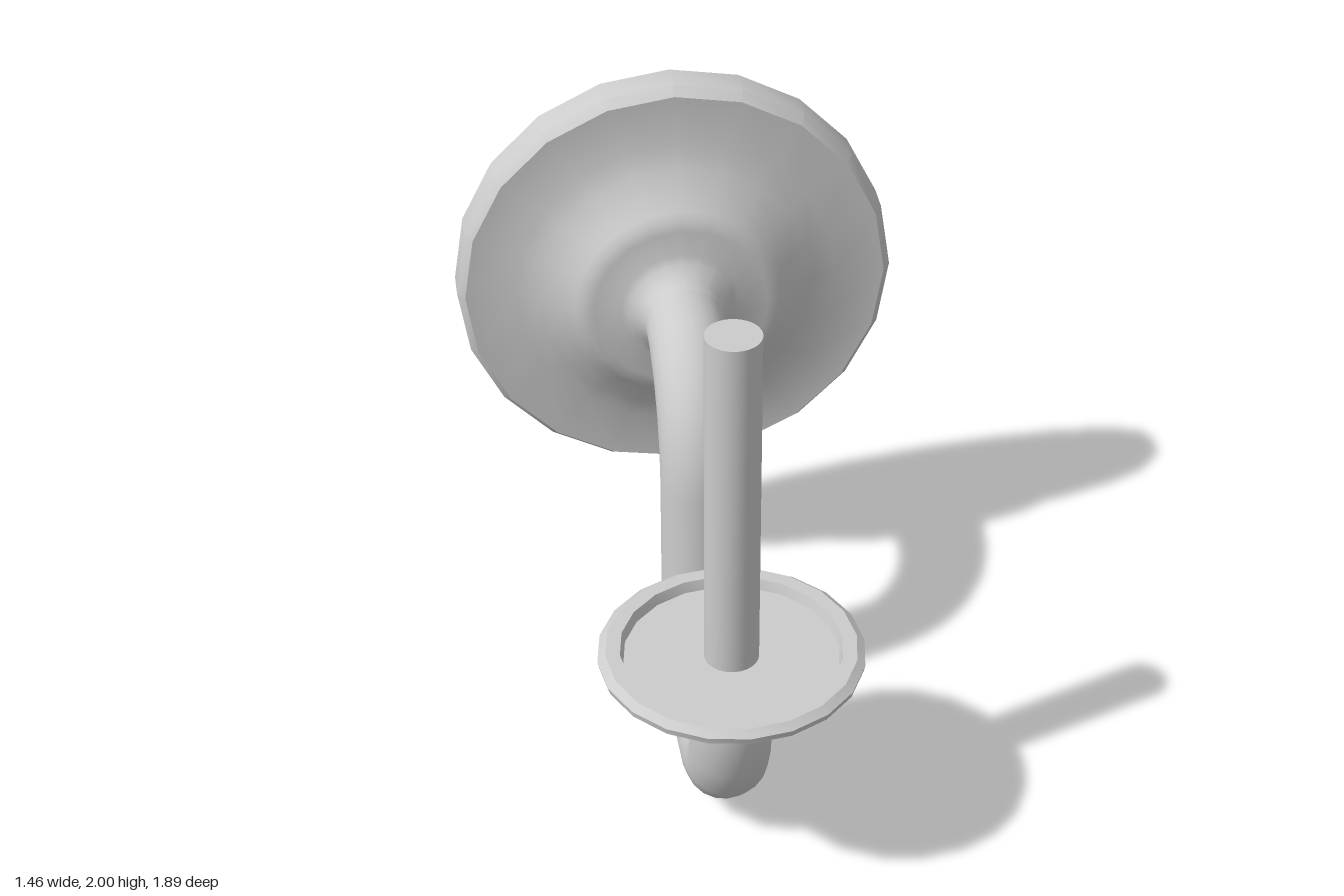
import * as THREE from 'three';
import { toCreasedNormals } from 'three/addons/utils/BufferGeometryUtils.js';

const SIDES = 20;
const grey = new THREE.MeshStandardMaterial({ color: 0xcccccc });

function part(name, geometry) {
  const mesh = new THREE.Mesh(toCreasedNormals(geometry, 0.65), grey);
  mesh.name = name;
  return mesh;
}

// Profile is a list of [radius, height]
function lathe(profile) {
  return new THREE.LatheGeometry(profile.map(([r, h]) => new THREE.Vector2(r, h)), SIDES);
}

// Cylinder whose rings are moved to the stations { y, z, tilt }
function bentPipe(radius, stations) {
  const geo = new THREE.CylinderGeometry(radius, radius, 1, SIDES, stations.length - 1, true);
  const pos = geo.attributes.position;
  const axis = new THREE.Vector3(1, 0, 0);
  const v = new THREE.Vector3();
  for (let i = 0; i < pos.count; i++) {
    const s = stations[Math.floor(i / (SIDES + 1))];
    v.fromBufferAttribute(pos, i).setY(0).applyAxisAngle(axis, s.tilt);
    pos.setXYZ(i, v.x, v.y + s.y, v.z + s.z);
  }
  return geo;
}

export function createModel() {
  const group = new THREE.Group();
  group.name = 'wallCandleHolder';

  // Wall plate with stepped boss and flared collar, axis along z
  const plate = part('wallPlate', lathe([
    [0, -0.95], [0.73, -0.95], [0.73, -0.845], [0.705, -0.81], [0.535, -0.808],
    [0.46, -0.775], [0.39, -0.735], [0.35, -0.695], [0.325, -0.675], [0.29, -0.665],
    [0.2, -0.665], [0.175, -0.65], [0.15, -0.625], [0.135, -0.595], [0.13, -0.57],
  ]).rotateX(Math.PI / 2));
  plate.position.y = 1.27;
  group.add(plate);

  // S-shaped arm: cup end, U bend, riser, quarter bend into the plate
  const stations = [{ y: 0.67, z: 0.53, tilt: 0 }];
  for (let i = 0; i <= 10; i++) {
    const a = i * Math.PI / 10;
    stations.push({ y: 0.505 - 0.37 * Math.sin(a), z: 0.165 + 0.37 * Math.cos(a), tilt: a });
  }
  for (let i = 0; i <= 5; i++) {
    const b = i * Math.PI / 10;
    stations.push({ y: 0.9 + 0.37 * Math.sin(b), z: -0.575 + 0.37 * Math.cos(b), tilt: Math.PI - b });
  }
  stations.push({ y: 1.27, z: -0.68, tilt: Math.PI / 2 });
  group.add(part('arm', bentPipe(0.13, stations)));

  // Drip saucer with rounded rim and sunken floor
  const saucer = part('saucer', lathe([
    [0, 0.655], [0.125, 0.655], [0.165, 0.68], [0.25, 0.7], [0.33, 0.72], [0.37, 0.745],
    [0.41, 0.758], [0.415, 0.78], [0.39, 0.8], [0.345, 0.8], [0.335, 0.765], [0, 0.765],
  ]));
  saucer.position.z = 0.53;
  group.add(saucer);

  // Upright rod
  const rod = part('rod', new THREE.CylinderGeometry(0.085, 0.085, 1.2, 32));
  rod.position.set(0, 1.34, 0.53);
  group.add(rod);

  return group;
}
